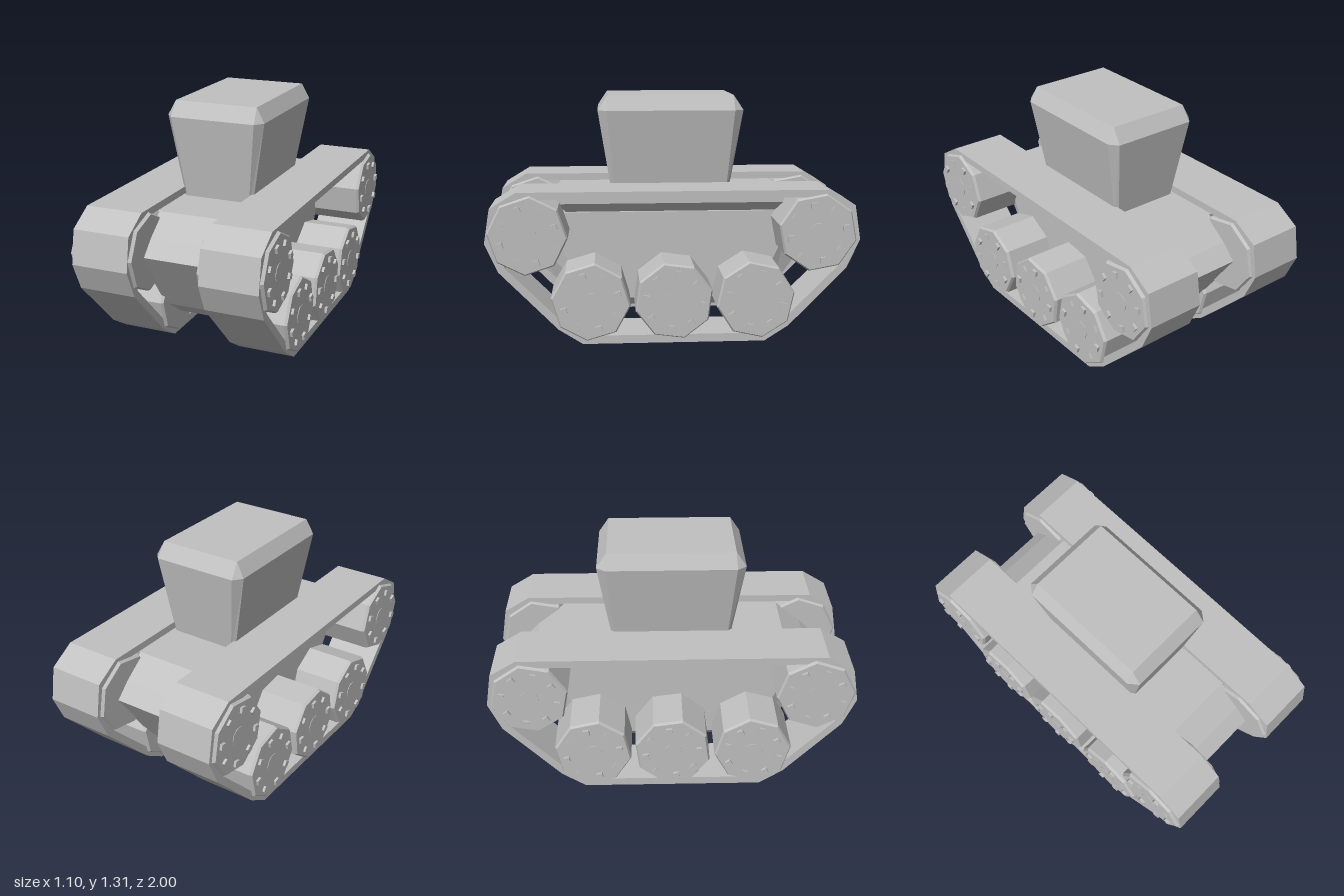
import * as THREE from 'three';

const metal = new THREE.MeshStandardMaterial({ color: 0xc0c0c0, flatShading: true });
metal.name = 'plain grey';

// Joins rings of [x, y, z] points (counter-clockwise seen from the last ring) and caps both ends.
function loft(rings) {
  const pos = [];
  const tri = (...pts) => pts.forEach((p) => pos.push(...p));
  const n = rings[0].length;
  for (let r = 0; r < rings.length - 1; r++) {
    for (let i = 0; i < n; i++) {
      const j = (i + 1) % n;
      const a = rings[r][i], b = rings[r][j], c = rings[r + 1][j], d = rings[r + 1][i];
      tri(a, b, c);
      tri(a, c, d);
    }
  }
  const lo = rings[0], hi = rings[rings.length - 1];
  for (let i = 1; i < n - 1; i++) {
    tri(hi[0], hi[i], hi[i + 1]);
    tri(lo[0], lo[i + 1], lo[i]);
  }
  const g = new THREE.BufferGeometry();
  g.setAttribute('position', new THREE.Float32BufferAttribute(pos, 3));
  g.computeVertexNormals();
  return g;
}

function add(parent, name, geometry) {
  const m = new THREE.Mesh(geometry, metal);
  m.name = name;
  parent.add(m);
  return m;
}

// Completes half an outline of [z, y] points with its front-to-back mirror.
const mirrored = (half) => [
  ...half.map(([z, y]) => [-z, y]),
  ...half.slice().reverse(),
];
const atX = (x, pts) => pts.map(([z, y]) => [x, y, z]);

// Chamfered rectangle at a height: half sizes and the ends of its straight edges.
function chamferedRing(y, hx, hz, ix, iz) {
  return [[hx, iz], [hx, -iz], [ix, -hz], [-ix, -hz], [-hx, -iz], [-hx, iz], [-ix, hz], [ix, hz]]
    .map(([x, z]) => [x, y, z]);
}

function trackGeometry() {
  const outer = [[0.49, 0], [0.62, 0.083], [0.93, 0.4], [1, 0.555], [0.97, 0.74], [0.83, 0.825]];
  const inner = [[0.47, 0.045], [0.585, 0.11], [0.893, 0.42], [0.955, 0.56], [0.93, 0.715], [0.815, 0.785]];
  const toPoints = (half) => mirrored(half).map(([z, y]) => new THREE.Vector2(-z, y));
  const shape = new THREE.Shape(toPoints(outer));
  shape.holes.push(new THREE.Path(toPoints(inner)));
  const g = new THREE.ExtrudeGeometry(shape, { depth: 0.32, bevelEnabled: false });
  return g.translate(0, 0, -0.16).rotateY(Math.PI / 2);
}

// Eight-sided roller with bevelled rims, a centre hub and a ring of square bolts.
function makeWheel(side, turn) {
  const wheel = new THREE.Group();
  wheel.name = 'wheel';
  const ring = (x, r) => Array.from({ length: 8 }, (_, i) => {
    const a = turn + (i * Math.PI) / 4;
    return [x, r * Math.sin(a), -r * Math.cos(a)];
  });
  add(wheel, 'roller', loft([ring(-0.177, 0.205), ring(-0.162, 0.214), ring(0.162, 0.214), ring(0.177, 0.205)]));
  const hub = add(wheel, 'hub', new THREE.CylinderGeometry(0.053, 0.053, 0.006, 10).rotateZ(Math.PI / 2));
  hub.position.x = side * 0.177;
  for (let i = 0; i < 8; i++) {
    const a = turn + ((i + 0.5) * Math.PI) / 4;
    const bolt = add(wheel, 'bolt', new THREE.BoxGeometry(0.03, 0.032, 0.032));
    bolt.position.set(side * 0.176, 0.15 * Math.sin(a), -0.15 * Math.cos(a));
    bolt.rotation.x = a;
  }
  return wheel;
}

export function createModel() {
  const model = new THREE.Group();
  model.name = 'trackedVehicle';

  // Hull with bevelled flanks
  const rim = mirrored([[0.45, 0.13], [0.59, 0.23], [0.85, 0.59], [0.77, 0.67], [0.63, 0.775]]);
  const flank = mirrored([[0.42, 0.18], [0.51, 0.26], [0.64, 0.53], [0.62, 0.63], [0.58, 0.67]]);
  add(model, 'hull', loft([atX(-0.25, flank), atX(-0.2, rim), atX(0.2, rim), atX(0.25, flank)]));

  // Overhanging deck above the flanks
  const deckRing = (y, x, z) => [[x, y, z], [x, y, -z], [-x, y, -z], [-x, y, z]];
  add(model, 'deck', loft([deckRing(0.67, 0.245, 0.58), deckRing(0.725, 0.3, 0.62), deckRing(0.773, 0.3, 0.63)]));

  // Cabin flaring upward to a bevelled roof
  add(model, 'cabin', loft([
    chamferedRing(0.76, 0.2, 0.325, 0.183, 0.31),
    chamferedRing(1.23, 0.28, 0.4, 0.24, 0.35),
    chamferedRing(1.312, 0.235, 0.345, 0.235, 0.345),
  ]));

  // Tracks and wheels: [z, y, starting angle in degrees]
  const wheels = [[0.775, 0.595, -4], [0.445, 0.232, -6], [0, 0.232, 15], [-0.44, 0.232, 10], [-0.77, 0.595, -12]];
  for (const side of [1, -1]) {
    const running = new THREE.Group();
    running.name = side > 0 ? 'leftRunningGear' : 'rightRunningGear';
    running.position.x = side * 0.358;
    add(running, 'track', trackGeometry());
    for (const [z, y, deg] of wheels) {
      const wheel = makeWheel(side, THREE.MathUtils.degToRad(deg));
      wheel.position.set(0, y, z);
      running.add(wheel);
    }
    model.add(running);
  }
  return model;
}
